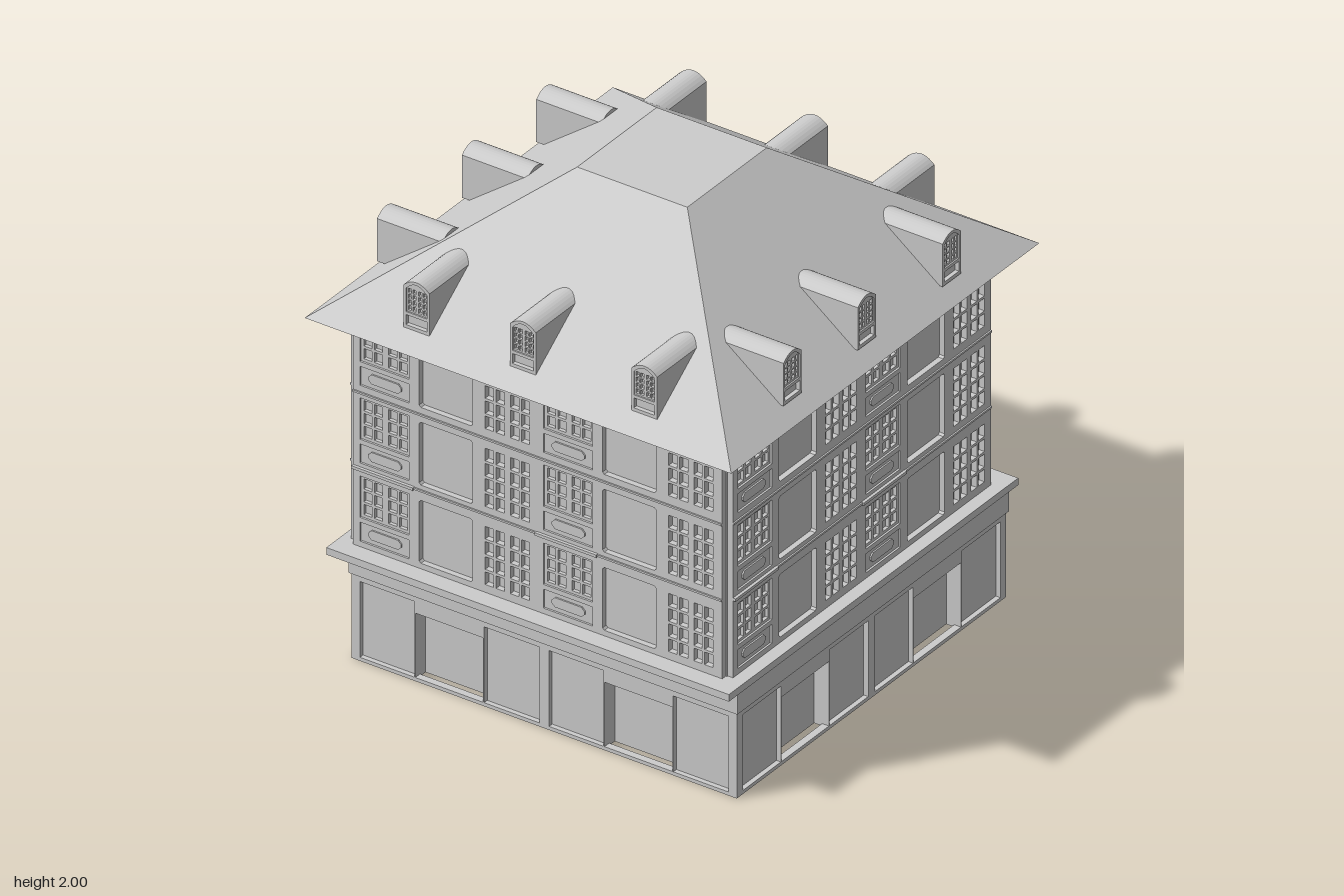
import * as THREE from 'three';

const stone = new THREE.MeshStandardMaterial({ color: 0xcccccc });
stone.name = 'pale grey stone';

function add(parent, name, geometry, x = 0, y = 0, z = 0) {
  const mesh = new THREE.Mesh(geometry, stone);
  mesh.name = name;
  mesh.position.set(x, y, z);
  parent.add(mesh);
  return mesh;
}

// Box given by its limits
function block(parent, name, x0, x1, y0, y1, z0, z1) {
  return add(parent, name, new THREE.BoxGeometry(x1 - x0, y1 - y0, z1 - z0),
    (x0 + x1) / 2, (y0 + y1) / 2, (z0 + z1) / 2);
}

// Rectangle outline with corners cut by c
function outline(x0, x1, y0, y1, c = 0) {
  const pts = c
    ? [[x0 + c, y0], [x1 - c, y0], [x1, y0 + c], [x1, y1 - c], [x1 - c, y1], [x0 + c, y1], [x0, y1 - c], [x0, y0 + c]]
    : [[x0, y0], [x1, y0], [x1, y1], [x0, y1]];
  return pts.map(([x, y]) => new THREE.Vector2(x, y));
}

// Plate with holes whose front lies at z
function plate(parent, name, points, holes, z, depth) {
  const shape = new THREE.Shape(points);
  holes.forEach(h => shape.holes.push(new THREE.Path(h)));
  const geo = new THREE.ExtrudeGeometry(shape, { depth, bevelEnabled: false });
  return add(parent, name, geo, 0, 0, z - depth);
}

// Pane outlines for a pair of sashes, two columns each
function panes(x0, x1, y0, y1, rows, bar = 0.011, gap = 0.026) {
  const w = (x1 - x0 - gap - 2 * bar) / 4;
  const h = (y1 - y0 - (rows - 1) * bar) / rows;
  const list = [];
  for (let c = 0; c < 4; c++) {
    const x = x0 + c * w + [0, bar, bar + gap, 2 * bar + gap][c];
    for (let r = 0; r < rows; r++) {
      const y = y0 + r * (h + bar);
      list.push(outline(x, x + w, y, y + h));
    }
  }
  return list;
}

// One side of the three upper floors
function upperSide() {
  const g = new THREE.Group();
  g.name = 'upperFacade';
  const F = 0.838, holes = [];
  for (const y of [0.52, 0.85, 1.178]) {
    for (const x of [-0.78, 0.025]) {
      holes.push(outline(x, x + 0.215, y + 0.1, y + 0.275));
      holes.push(outline(x, x + 0.215, y, y + 0.08));
      holes.push(outline(x + 0.26, x + 0.495, y, y + 0.265, 0.008));
      holes.push(...panes(x + 0.55, x + 0.745, y + 0.01, y + 0.255, 4));
      plate(g, 'windowSash', outline(x, x + 0.215, y + 0.1, y + 0.275),
        panes(x + 0.012, x + 0.203, y + 0.112, y + 0.263, 3), F - 0.008, 0.014);
      plate(g, 'apronPanel', outline(x, x + 0.215, y, y + 0.08), [], F - 0.008, 0.014);
      plate(g, 'apronCartouche', outline(x + 0.035, x + 0.18, y + 0.02, y + 0.06, 0.014), [], F - 0.002, 0.008);
    }
  }
  plate(g, 'wall', outline(-0.81, 0.81, 0.49, 1.46), holes, F, 0.03);
  // Floor bands and sills
  for (const y of [0.828, 1.148]) block(g, 'floorBand', -0.81, 0.81, y - 0.004, y + 0.004, F - 0.02, F + 0.006);
  for (const x of [-0.81, -0.005]) block(g, 'sill', x, x + 0.27, 0.822, 0.834, F - 0.02, F + 0.012);
  return g;
}

// One side of the hollow ground floor
function groundSide() {
  const g = new THREE.Group();
  g.name = 'groundFacade';
  const F = 0.846, holes = [];
  for (const x of [-0.808, 0.022]) {
    const a = x + 0.243, b = x + 0.541, c = x + 0.788;
    holes.push(outline(x, a - 0.004, 0.015, 0.335));
    holes.push(outline(a, b, 0.015, 0.287));
    holes.push(outline(b + 0.004, c, 0.015, 0.335));
    block(g, 'shopPanel', x - 0.01, a, 0.005, 0.34, F - 0.035, F - 0.02);
    block(g, 'shopPanel', b, c + 0.01, 0.005, 0.34, F - 0.035, F - 0.02);
    // Deep doorway with its jambs and lintel
    block(g, 'doorPanel', a - 0.006, b + 0.006, 0.005, 0.295, F - 0.08, F - 0.065);
    block(g, 'doorJamb', a - 0.008, a, 0.005, 0.295, F - 0.08, F - 0.02);
    block(g, 'doorJamb', b, b + 0.008, 0.005, 0.295, F - 0.08, F - 0.02);
    block(g, 'doorLintel', a - 0.006, b + 0.006, 0.287, 0.295, F - 0.08, F - 0.02);
  }
  plate(g, 'shopFront', outline(-0.846, 0.846, 0, 0.46), holes, F, 0.03);
  block(g, 'fascia', -0.853, 0.853, 0.36, 0.46, F - 0.02, 0.853);
  return g;
}

// Arched dormer running back into the roof
function dormer(u) {
  const g = new THREE.Group();
  g.name = 'dormer';
  const w = 0.057, pts = outline(-w, w, 1.535, 1.715).slice(0, 2);
  const arch = (half, spring, rise) => {
    const list = [];
    for (let i = 0; i <= 10; i++) {
      const t = 1 - i / 5;
      list.push(new THREE.Vector2(half * t, spring + rise * (1 - t * t)));
    }
    return list;
  };
  plate(g, 'dormerBody', [...pts, ...arch(w, 1.715, 0.027)], [], 0.868, 0.27);
  const opening = [new THREE.Vector2(-0.046, 1.605), new THREE.Vector2(0.046, 1.605), ...arch(0.046, 1.703, 0.027)];
  plate(g, 'dormerFrame', [...pts, ...arch(w, 1.715, 0.027)],
    [opening, outline(-0.046, 0.046, 1.55, 1.592)], 0.885, 0.017);
  plate(g, 'dormerSash', opening, panes(-0.04, 0.04, 1.612, 1.703, 4, 0.006, 0.012), 0.879, 0.011);
  g.position.x = u;
  return g;
}

function fourSides(parent, name, make, x, z) {
  const ring = new THREE.Group();
  ring.name = name;
  ring.position.set(x, 0, z);
  for (let i = 0; i < 4; i++) {
    const side = make();
    side.rotation.y = i * Math.PI / 2;
    ring.add(side);
  }
  parent.add(ring);
}

export function createModel() {
  const model = new THREE.Group();
  model.name = 'townHouse';

  fourSides(model, 'groundFloor', groundSide, 0.005, -0.035);
  block(model, 'ceiling', -0.83, 0.84, 0.44, 0.46, -0.87, 0.8);
  block(model, 'corniceLower', -0.865, 0.865, 0.455, 0.47, -0.895, 0.885);
  block(model, 'cornice', -0.885, 0.882, 0.467, 0.497, -0.913, 0.905);

  block(model, 'core', -0.825, 0.805, 0.48, 1.48, -0.825, 0.807);
  fourSides(model, 'upperFloors', upperSide, -0.01, -0.008);
  block(model, 'topCornice', -0.85, 0.83, 1.46, 1.48, -0.86, 0.842);

  // Hipped roof with a flat top
  const roofGeo = new THREE.CylinderGeometry(0.25 * Math.SQRT2, 0.968 * Math.SQRT2, 0.52, 4).toNonIndexed();
  roofGeo.rotateY(Math.PI / 4);
  roofGeo.scale(0.967, 1, 1);
  roofGeo.computeVertexNormals();
  add(model, 'roof', roofGeo, 0, 1.74, 0);

  fourSides(model, 'dormers', () => {
    const row = new THREE.Group();
    row.name = 'dormerRow';
    [-0.49, -0.023, 0.51].forEach(u => row.add(dormer(u)));
    return row;
  }, -0.01, 0.005);

  return model;
}
